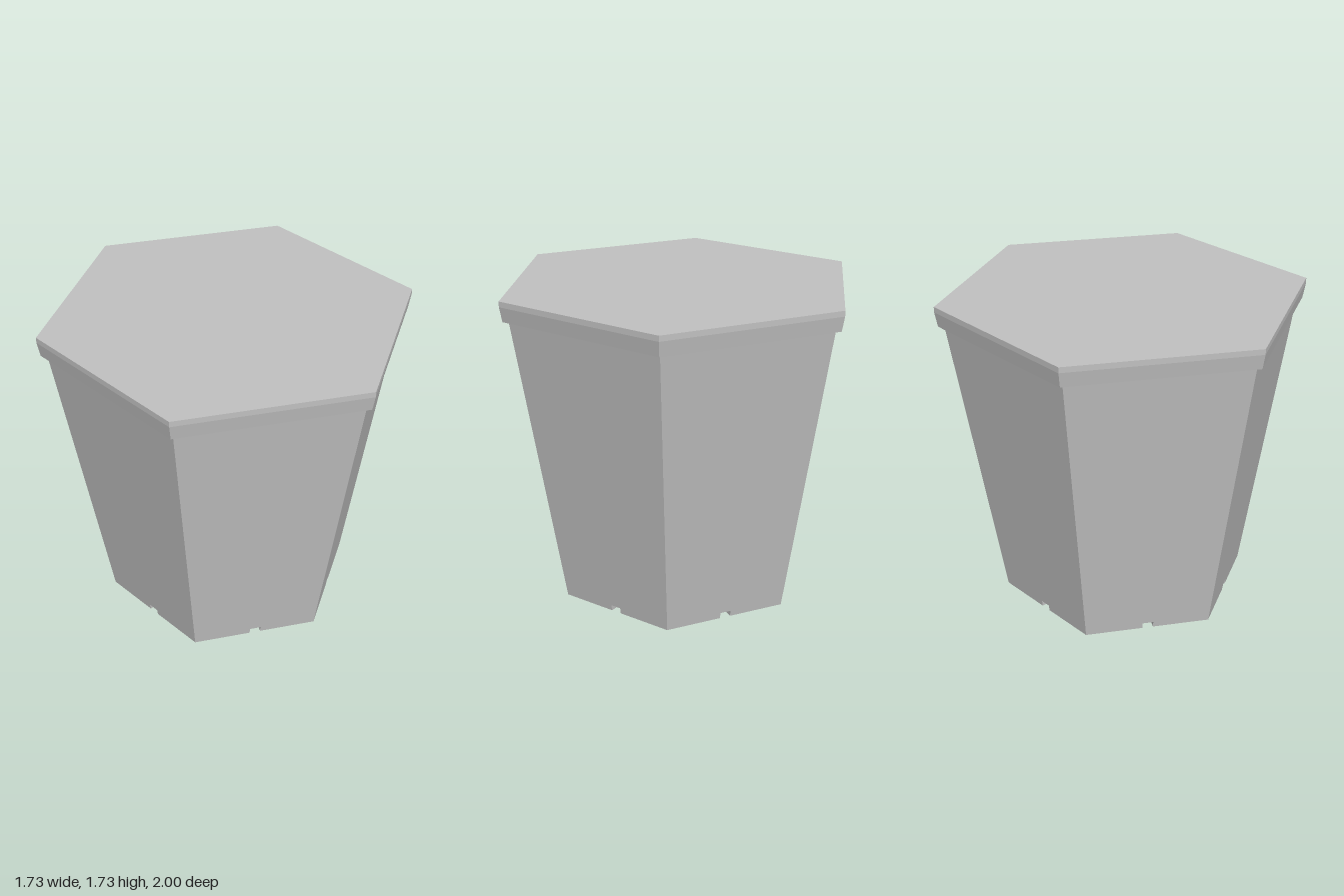
import * as THREE from 'three';
import { toCreasedNormals } from 'three/addons/utils/BufferGeometryUtils.js';

const FLOOR = 0.033; // floor thickness, also the notch height
const BASE_R = 0.685; // corner radius at the ground
const BODY_R = 0.953; // corner radius under the rim
const RIM_Y = 1.62;
const TOP_Y = 1.73;

// Six-sided ring swept from an [r, y] profile, with flat faces
function hexLathe(points) {
  const profile = points.map(([r, y]) => new THREE.Vector2(r, y));
  const geometry = new THREE.LatheGeometry(profile, 6).toNonIndexed();
  geometry.computeVertexNormals();
  return geometry;
}

// Hexagonal floor outline with a drain notch in the middle of each side
function floorShape() {
  const shape = new THREE.Shape();
  const apothem = BASE_R * Math.cos(Math.PI / 6);
  const half = 0.03, depth = 0.07;
  const points = [];
  for (let i = 0; i < 6; i++) {
    const a = (i * Math.PI) / 3, c = Math.cos(a), s = Math.sin(a);
    const add = (out, along) =>
      points.push(new THREE.Vector2(out * c - along * s, out * s + along * c));
    add(apothem, -BASE_R / 2);
    add(apothem, -half);
    add(apothem - depth, -half);
    add(apothem - depth, half);
    add(apothem, half);
  }
  shape.setFromPoints(points);

  // Four by four grid of round drain holes
  for (let i = 0; i < 4; i++) {
    for (let j = 0; j < 4; j++) {
      const hole = new THREE.Path();
      hole.absarc((i - 1.5) * 0.21, (j - 1.5) * 0.21, 0.054, 0, Math.PI * 2, true);
      shape.holes.push(hole);
    }
  }
  return shape;
}

export function createModel() {
  const group = new THREE.Group();
  const grey = new THREE.MeshStandardMaterial({ color: 0xc0c0c0 });
  grey.name = 'grey plastic';

  const add = (name, geometry) => {
    const mesh = new THREE.Mesh(geometry, grey);
    mesh.name = name;
    group.add(mesh);
  };

  // Perforated floor, widened slightly upward to follow the wall taper
  const floor = new THREE.ExtrudeGeometry(floorShape(), {
    depth: FLOOR, bevelEnabled: false, curveSegments: 16,
  });
  floor.rotateX(-Math.PI / 2);
  const pos = floor.attributes.position;
  const wallR = BASE_R + ((BODY_R - BASE_R) * FLOOR) / RIM_Y;
  for (let i = 0; i < pos.count; i++) {
    const k = 1 + (wallR / BASE_R - 1) * (pos.getY(i) / FLOOR);
    pos.setX(i, pos.getX(i) * k);
    pos.setZ(i, pos.getZ(i) * k);
  }
  add('drainFloor', toCreasedNormals(floor, 0.6));

  // Hollow tapered wall
  const t = 0.045;
  add('potWall', hexLathe([
    [BODY_R - t, RIM_Y], [wallR - t, FLOOR], [wallR, FLOOR], [BODY_R, RIM_Y],
  ]));

  // Closed top with an overhanging rim
  add('rimAndLid', hexLathe([
    [0, RIM_Y + 0.07], [BODY_R - t, RIM_Y + 0.07], [BODY_R - t, RIM_Y],
    [0.985, RIM_Y], [1, 1.7], [1, TOP_Y], [0, TOP_Y],
  ]));

  return group;
}
